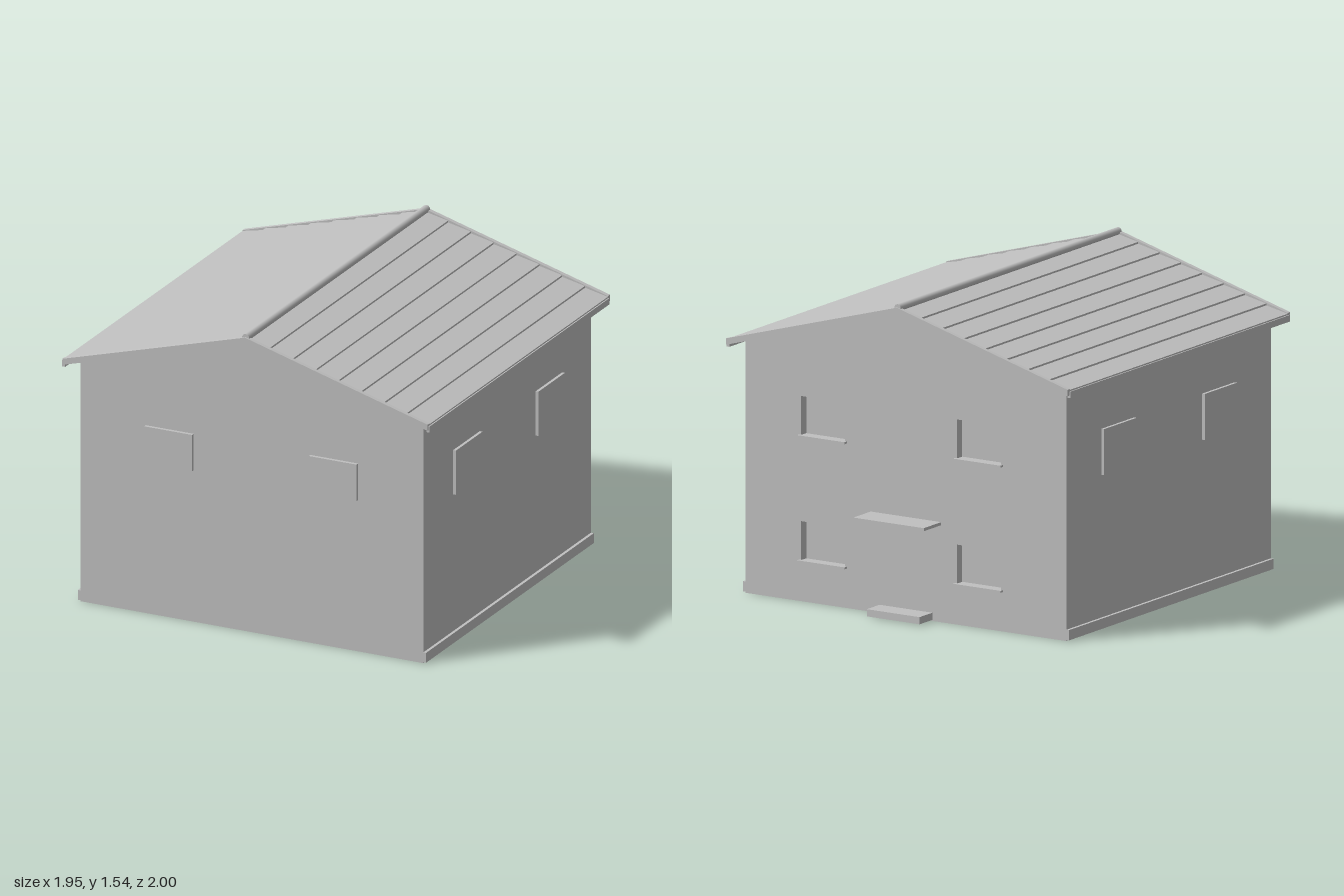
import * as THREE from 'three';

export function createModel() {
  const house = new THREE.Group();
  house.name = 'house';
  const grey = new THREE.MeshStandardMaterial({ color: 0xc0c0c0, side: THREE.DoubleSide });
  grey.name = 'plain grey';

  const W = 0.91, FRONT = 0.92, BACK = -0.85, EAVE = 1.23;
  const ROOF_X = 0.97, ROOF_FRONT = 0.995, ROOF_BACK = -0.93;

  function add(name, geometry, x = 0, y = 0, z = 0) {
    const mesh = new THREE.Mesh(geometry, grey);
    mesh.name = name;
    mesh.position.set(x, y, z);
    house.add(mesh);
    return mesh;
  }
  // Box given by its limits on each axis
  function box(name, x0, x1, y0, y1, z0, z1) {
    return add(name, new THREE.BoxGeometry(x1 - x0, y1 - y0, z1 - z0),
      (x0 + x1) / 2, (y0 + y1) / 2, (z0 + z1) / 2);
  }
  const polygon = (points) => new THREE.Shape(points.map(([x, y]) => new THREE.Vector2(x, y)));
  const rect = (x0, x1, y0, y1) => polygon([[x0, y0], [x1, y0], [x1, y1], [x0, y1]]);
  const extrude = (shape, depth) => new THREE.ExtrudeGeometry(shape, { depth, bevelEnabled: false });

  // Thin walls, open underneath
  add('frontWall', new THREE.ShapeGeometry(rect(-W, W, 0, EAVE)), 0, 0, FRONT);
  for (const side of [-1, 1]) {
    const wall = add('sideWall', new THREE.PlaneGeometry(FRONT - BACK, 1.24), side * W, 0.62, (FRONT + BACK) / 2);
    wall.rotation.y = side * Math.PI / 2;
    const x0 = side > 0 ? W : -W - 0.015;
    box('plinth', x0, x0 + 0.015, 0.005, 0.055, BACK, FRONT);
    // Shutters on the side walls
    for (const z of [0.465, -0.405]) box('sideWindow', x0, x0 + 0.015, 0.75, 0.975, z - 0.14, z + 0.14);
    // Shutters on the front wall
    const x = side * 0.437;
    box('frontWindow', x - 0.127, x + 0.127, 0.77, 0.955, FRONT, FRONT + 0.017);
  }

  // Gables
  for (const z of [FRONT, BACK]) {
    const gable = polygon([[-W, EAVE], [W, EAVE], [W, 1.243], [0, 1.495], [-W, 1.243]]);
    const mesh = add('gable', new THREE.ShapeGeometry(gable), 0, 0, z);
    if (z === BACK) mesh.rotation.y = Math.PI;
  }

  // Back wall with four recessed windows and sills
  const backWall = rect(-W, W, 0, EAVE);
  for (const x of [0.47, -0.415]) {
    for (const y of [0.2, 0.81]) {
      const x0 = x - 0.125, x1 = x + 0.125, y1 = y + 0.19;
      backWall.holes.push(rect(x0, x1, y, y1));
      const frame = rect(x0 - 0.005, x1 + 0.005, y - 0.005, y1 + 0.005);
      frame.holes.push(rect(x0, x1, y, y1));
      add('windowReveal', extrude(frame, 0.045), 0, 0, BACK + 0.001);
      const pane = add('windowPane', new THREE.PlaneGeometry(0.25, 0.19), x, y + 0.095, BACK + 0.045);
      pane.rotation.y = Math.PI;
      box('windowSill', x0 - 0.01, x1 + 0.01, y - 0.008, y + 0.002, BACK - 0.02, BACK);
    }
  }
  add('backWall', new THREE.ShapeGeometry(backWall), 0, 0, BACK);

  // Door canopy and step
  box('canopy', -0.2, 0.2, 0.473, 0.488, -1, BACK);
  box('doorStep', -0.15, 0.15, 0.005, 0.04, -0.96, BACK);

  // Roof of lapped courses, one slope mirrored to the other
  const top = (x) => 1.52 - 0.275 * x / ROOF_X;
  const courses = 8, lap = 0.01;
  const profile = [];
  for (let i = 0; i < courses; i++) {
    const x0 = ROOF_X * i / courses, x1 = ROOF_X * (i + 1) / courses;
    profile.push([x0, top(x0) - lap], [x1, top(x1) - 0.001]);
  }
  profile.push([ROOF_X, top(ROOF_X) - 0.022], [0, top(0) - 0.022]);
  const rake = [[0, top(0) + 0.003], [ROOF_X, top(ROOF_X) + 0.003],
    [ROOF_X, top(ROOF_X) - 0.028], [0, top(0) - 0.028]];
  for (const side of [-1, 1]) {
    const mirror = (points) => polygon(points.map(([x, y]) => [side * x, y]));
    add('roofCourses', extrude(mirror(profile), ROOF_FRONT - ROOF_BACK - 0.04), 0, 0, ROOF_BACK + 0.02);
    // Rake boards at both ends
    for (const z of [ROOF_BACK, ROOF_FRONT - 0.022])
      add('rakeBoard', extrude(mirror(rake), 0.022), 0, 0, z);
    // Eave board
    const x0 = side > 0 ? 0.96 : -0.976;
    box('eaveBoard', x0, x0 + 0.016, 1.205, 1.237, ROOF_BACK + 0.015, ROOF_FRONT - 0.01);
  }

  // Rounded ridge cap
  const ridge = new THREE.CylinderGeometry(0.019, 0.019, ROOF_FRONT - ROOF_BACK - 0.015, 10);
  ridge.rotateX(Math.PI / 2);
  add('ridgeCap', ridge, 0, 1.52, (ROOF_FRONT + ROOF_BACK) / 2);

  return house;
}
